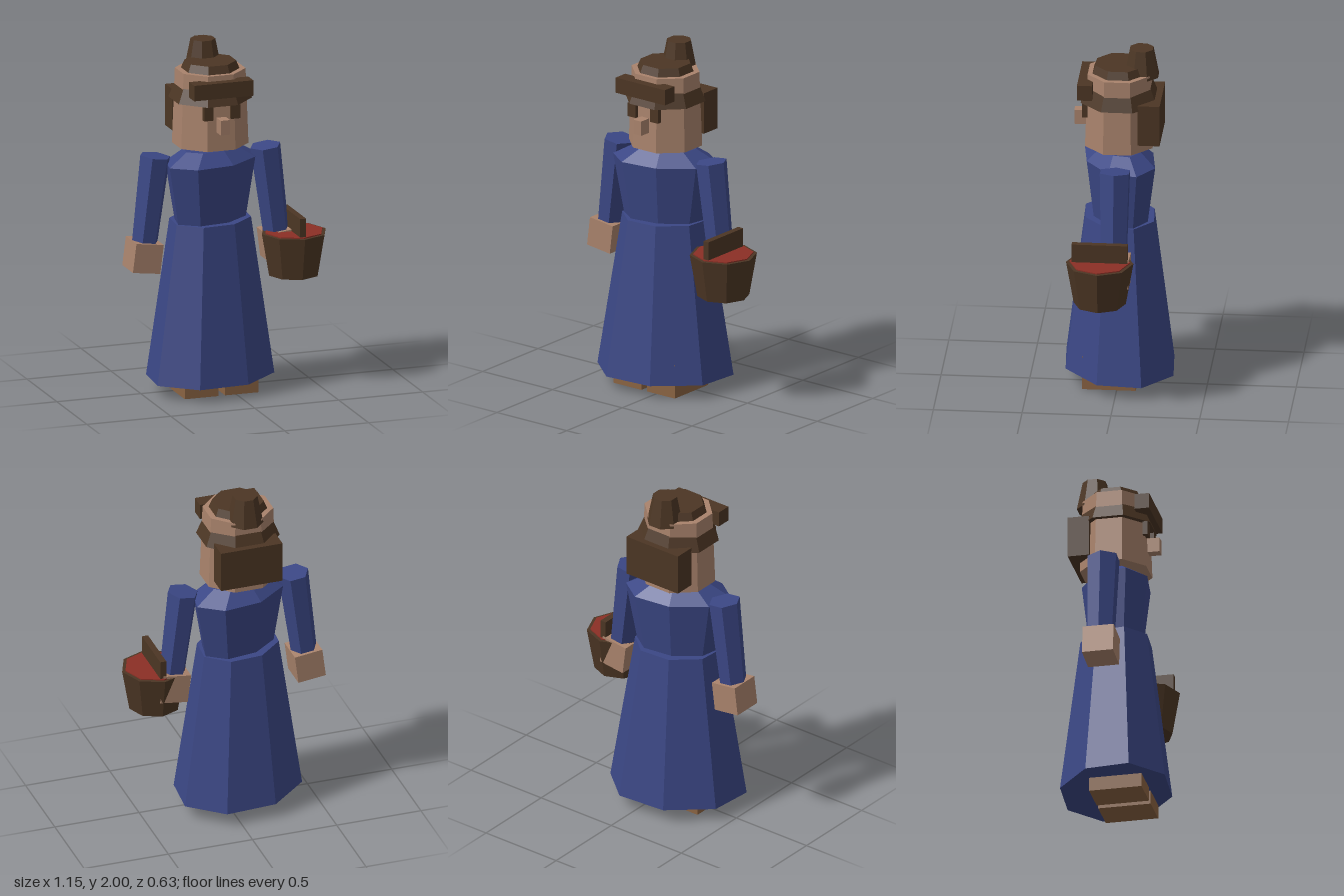
import * as THREE from 'three';

const paint = (name, color) => {
  const m = new THREE.MeshStandardMaterial({ color, flatShading: true });
  m.name = name;
  return m;
};

export function createModel() {
  const cloth = paint('blue cloth', 0x3b4785);
  const skin = paint('skin', 0xa9836c);
  const brown = paint('dark brown', 0x4c3624);
  const red = paint('red filling', 0x8b2f25);
  const leather = paint('tan leather', 0x8a6342);

  const model = new THREE.Group();
  model.name = 'basketCarrier';

  // The figure stands a little to one side because the basket sticks out
  const figure = new THREE.Group();
  figure.name = 'figure';
  figure.position.x = -0.087;
  model.add(figure);

  const add = (parent, name, geometry, material, x = 0, y = 0, z = 0) => {
    const mesh = new THREE.Mesh(geometry, material);
    mesh.name = name;
    mesh.position.set(x, y, z);
    parent.add(mesh);
    return mesh;
  };

  // Box given by its centre and size
  const box = (parent, name, mat, [x, y, z], [w, h, d]) =>
    add(parent, name, new THREE.BoxGeometry(w, h, d), mat, x, y, z);

  // Faceted frustum between two heights; flattened in z, then turned
  const frustum = (parent, name, mat, y0, r0, y1, r1, { sides = 8, start = 0, flat = 1, turn = 0, x = 0, z = 0 } = {}) => {
    const g = new THREE.CylinderGeometry(r1, r0, y1 - y0, sides, 1, false, start);
    g.scale(1, 1, flat);
    g.rotateY(turn);
    return add(parent, name, g, mat, x, (y0 + y1) / 2, z);
  };

  const EIGHTH = Math.PI / 8;

  // Dress
  frustum(figure, 'skirt', cloth, 0.08, 0.397, 0.99, 0.253, { flat: 0.806, turn: EIGHTH });
  frustum(figure, 'bodice', cloth, 0.98, 0.24, 1.33, 0.306, { flat: 0.64, turn: EIGHTH });
  frustum(figure, 'shoulders', cloth, 1.33, 0.306, 1.4, 0.18, { flat: 0.64, turn: EIGHTH });

  // Head and hair
  frustum(figure, 'neck', skin, 1.36, 0.095, 1.46, 0.095, { start: EIGHTH, flat: 0.9 });
  frustum(figure, 'head', skin, 1.425, 0.2165, 1.86, 0.2, { start: EIGHTH, flat: 0.95 });
  frustum(figure, 'hairCap', brown, 1.69, 0.236, 1.905, 0.146, { start: EIGHTH, flat: 0.98 });
  frustum(figure, 'bun', brown, 1.835, 0.103, 2.0, 0.07, { start: EIGHTH, z: -0.122 });
  box(figure, 'fringe', brown, [0, 1.785, 0.185], [0.352, 0.09, 0.085]);
  box(figure, 'backHair', brown, [0, 1.6, -0.177], [0.365, 0.24, 0.123]);
  box(figure, 'nose', skin, [0, 1.577, 0.21], [0.056, 0.085, 0.09]);

  // Paired parts
  for (const side of [1, -1]) {
    const label = side > 0 ? 'left' : 'right';
    box(figure, label + 'Eye', brown, [side * 0.08, 1.65, 0.19], [0.056, 0.08, 0.03]);
    box(figure, label + 'Shoe', leather, [side * 0.12, 0.1, 0.043], [0.2, 0.2, 0.301]);

    // Arm hangs slightly outwards with a block hand at the end
    const arm = new THREE.Group();
    arm.name = label + 'Arm';
    arm.position.set(side * 0.328, 1.378, 0);
    arm.rotation.z = side * 0.125;
    figure.add(arm);
    frustum(arm, label + 'Sleeve', cloth, -0.5, 0.076, 0, 0.089, { sides: 6, start: Math.PI / 2, flat: 1.06 });
    box(arm, label + 'Hand', skin, [0, -0.576, 0], [0.164, 0.168, 0.178]);
  }

  // Basket
  const basket = new THREE.Group();
  basket.name = 'basket';
  basket.position.set(0.385, 0, 0.073);
  model.add(basket);
  frustum(basket, 'basketBowl', brown, 0.637, 0.147, 0.882, 0.19);
  frustum(basket, 'basketFilling', red, 0.882, 0.17, 0.888, 0.17);
  box(basket, 'basketHandle', brown, [0, 0.932, 0], [0.036, 0.126, 0.314]);

  return model;
}
